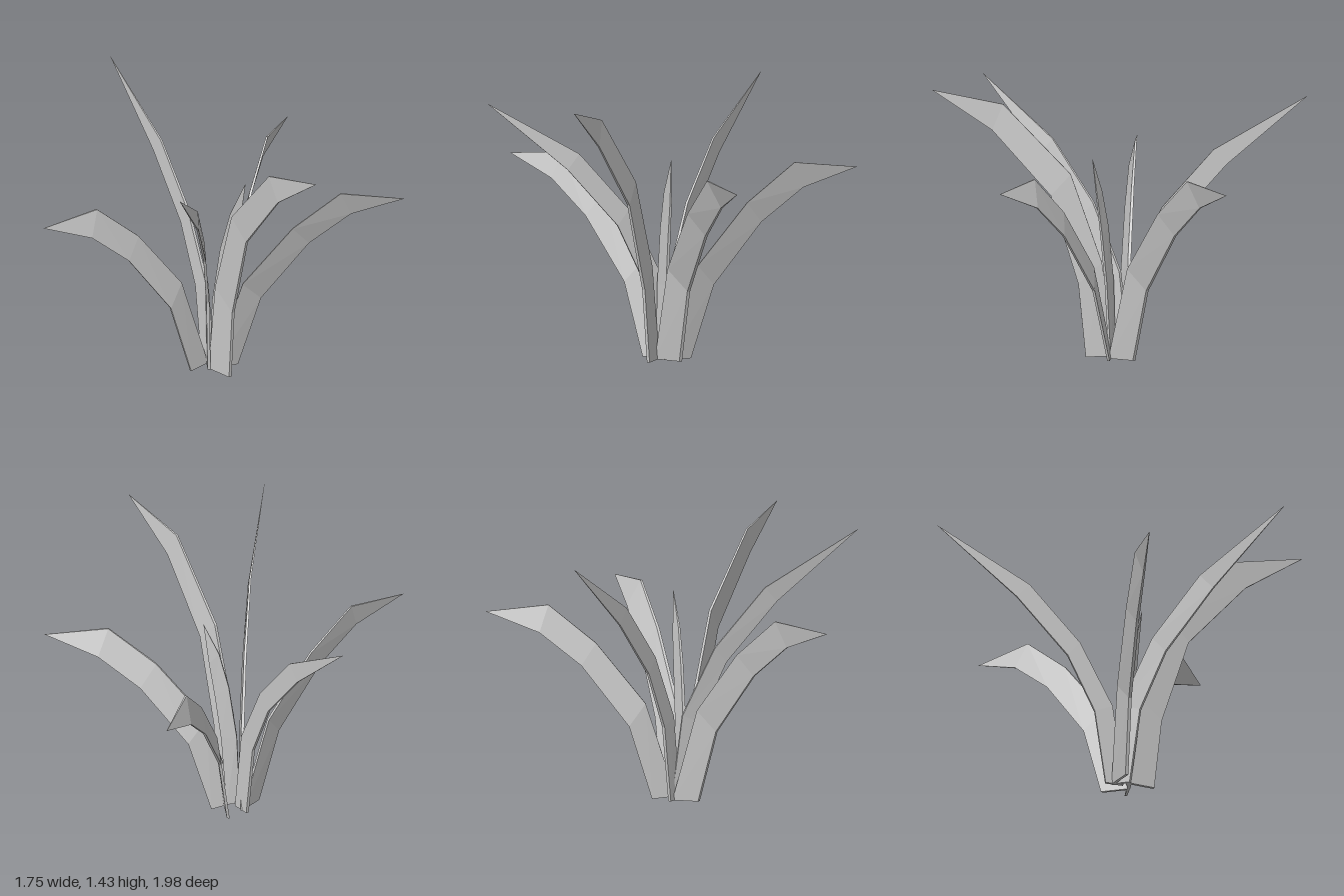
import * as THREE from 'three';

// Blade outlines as [reach, height]: inner (upper) edge and outer (lower) edge, base to tip
const ARCHED = {
  inner: [[0, 0], [0.16, 0.5], [0.42, 0.83], [0.67, 1.04], [1, 1.01]],
  outer: [[0.13, 0], [0.25, 0.39], [0.5, 0.72], [0.72, 0.9], [1, 1.01]],
};
const SLENDER = {
  inner: [[-0.03, 0], [0.03, 0.45], [0.21, 0.8], [0.49, 1.11], [1, 1.4]],
  outer: [[0.07, 0], [0.13, 0.41], [0.28, 0.72], [0.56, 1.03], [1, 1.4]],
};
const BROAD = {
  inner: [[0, 0], [0.07, 0.5], [0.24, 0.97], [0.61, 1.345], [1, 1.43]],
  outer: [[0.16, 0], [0.2, 0.39], [0.35, 0.86], [0.67, 1.21], [1, 1.43]],
};
const SHORT = {
  inner: [[0, 0], [0.08, 0.4], [0.3, 0.7], [0.57, 0.9], [1, 1.08]],
  outer: [[0.35, 0], [0.5, 0.4], [0.68, 0.66], [0.84, 0.85], [1, 1.08]],
};

const BOW = [0, 0.2, 0.6, 1, 0]; // sideways bend along the blade
const ROLL = [1, 0.9, 0.8, 0.7, 0]; // lean between the two edges
const THICK = [0.008, 0.008, 0.007, 0.005, 0.001]; // half thickness

// name, outline, root [x, z], tip [x, z], roll, bow
const LEAVES = [
  ['rightBackLeaf', SLENDER, [-0.15, 0.0], [-0.86, -0.67], 0.003, 0],
  ['rightFrontLeaf', ARCHED, [-0.15, 0.0], [-0.88, 0.68], 0.026, 0],
  ['frontLeaf', SLENDER, [-0.155, 0.0], [-0.06, 0.99], 0.012, 0.02],
  ['leftFrontLeaf', BROAD, [-0.13, 0.04], [0.6, 0.67], 0.012, -0.03],
  ['backLeaf', ARCHED, [-0.1, 0.01], [0.02, -0.99], 0.032, 0.01],
  ['leftLeaf', ARCHED, [-0.13, 0.02], [0.87, -0.15], 0.042, 0],
  ['centreLeaf', SHORT, [-0.14, 0.04], [0.05, 0.02], 0.012, 0],
];

// Thin closed blade lofted through four-cornered cross-sections
function bladeGeometry(outline, root, tip, roll, bow) {
  const reach = new THREE.Vector2(tip[0] - root[0], tip[1] - root[1]);
  const side = reach.clone().normalize();
  const positions = [];
  const index = [];
  const n = outline.inner.length;

  const addCorner = ([r, y], offset) => positions.push(
    root[0] + reach.x * r + side.y * offset,
    y,
    root[1] + reach.y * r - side.x * offset,
  );

  for (let i = 0; i < n; i++) {
    const lean = roll * ROLL[i];
    const shift = bow * BOW[i];
    addCorner(outline.inner[i], shift - lean - THICK[i]);
    addCorner(outline.outer[i], shift + lean - THICK[i]);
    addCorner(outline.outer[i], shift + lean + THICK[i]);
    addCorner(outline.inner[i], shift - lean + THICK[i]);
  }
  for (let i = 0; i < n - 1; i++) {
    for (let k = 0; k < 4; k++) {
      const a = i * 4 + k;
      const b = i * 4 + ((k + 1) % 4);
      index.push(a, b, b + 4, a, b + 4, a + 4);
    }
  }
  index.push(0, 3, 2, 0, 2, 1); // base cap

  const indexed = new THREE.BufferGeometry();
  indexed.setAttribute('position', new THREE.Float32BufferAttribute(positions, 3));
  indexed.setIndex(index);
  const geometry = indexed.toNonIndexed();
  geometry.computeVertexNormals();
  return geometry;
}

export function createModel() {
  const plant = new THREE.Group();
  plant.name = 'leafyPlant';
  const material = new THREE.MeshStandardMaterial({
    color: 0xcccccc, flatShading: true, side: THREE.DoubleSide,
  });
  for (const [name, outline, root, tip, roll, bow] of LEAVES) {
    const leaf = new THREE.Mesh(bladeGeometry(outline, root, tip, roll, bow), material);
    leaf.name = name;
    plant.add(leaf);
  }
  return plant;
}
